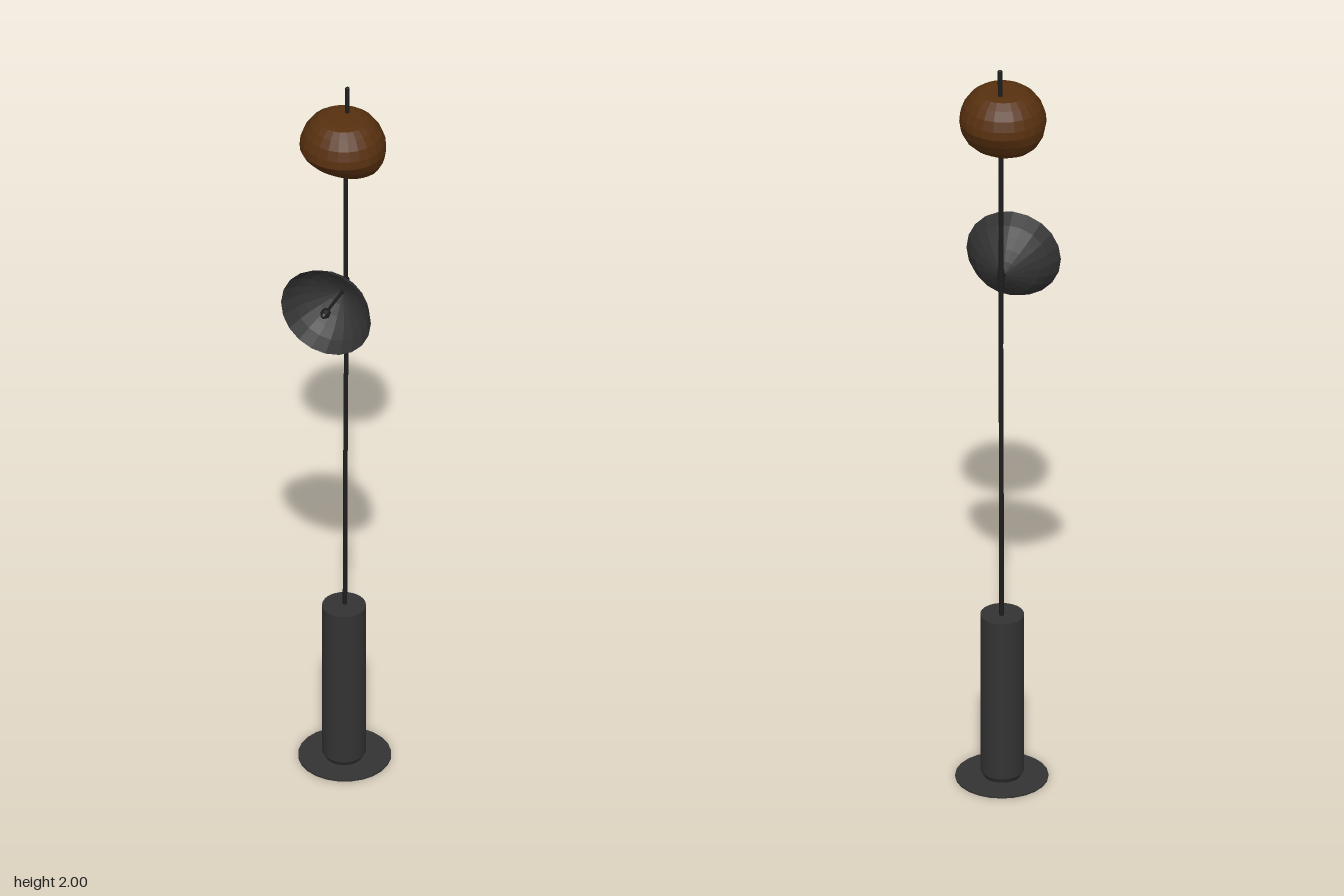
import * as THREE from 'three';

const charcoal = new THREE.MeshStandardMaterial({ color: 0x333333 });
charcoal.name = 'charcoal metal';
const shell = new THREE.MeshStandardMaterial({ color: 0x333333, side: THREE.DoubleSide });
shell.name = 'charcoal sheet';
const black = new THREE.MeshStandardMaterial({ color: 0x1e1e1e });
black.name = 'black metal';
const amber = new THREE.MeshStandardMaterial({ color: 0x57300f });
amber.name = 'dark amber';

const points = (list) => list.map(([r, y]) => new THREE.Vector2(r, y));

// Faceted version of a smooth geometry
function faceted(geometry) {
  const flat = geometry.toNonIndexed();
  flat.computeVertexNormals();
  return flat;
}

export function createModel() {
  const group = new THREE.Group();
  const add = (name, geometry, material, x = 0, y = 0, z = 0, parent = group) => {
    const mesh = new THREE.Mesh(geometry, material);
    mesh.name = name;
    mesh.position.set(x, y, z);
    parent.add(mesh);
    return mesh;
  };

  // Thin floor disc
  add('baseDisc', new THREE.CylinderGeometry(0.115, 0.115, 0.004, 24), charcoal, 0, 0.002, -0.016);

  // Heavy cylindrical post with softened bottom edge
  add('post', new THREE.CylinderGeometry(0.054, 0.054, 0.437, 32), charcoal, 0, 0.2365, -0.012);
  add('postFoot', new THREE.CylinderGeometry(0.054, 0.046, 0.014, 32), charcoal, 0, 0.011, -0.012);

  // Slender, slightly bent pole
  const path = new THREE.CatmullRomCurve3([
    [0.44, -0.018], [0.8, -0.02], [1.2, -0.025], [1.45, -0.023], [1.75, -0.025], [1.9, -0.031], [1.998, -0.034],
  ].map(([y, z]) => new THREE.Vector3(0, y, z)));
  add('pole', new THREE.TubeGeometry(path, 40, 0.006, 8), black);
  add('poleTip', new THREE.SphereGeometry(0.006, 8, 4), black, 0, 1.994, -0.034);

  // Globe with flattened top, pinched front to back towards the pole below
  const globe = new THREE.LatheGeometry(points([
    [0, -0.09], [0.035, -0.086], [0.065, -0.074], [0.088, -0.055], [0.103, -0.028], [0.108, 0],
    [0.106, 0.022], [0.097, 0.047], [0.081, 0.069], [0.062, 0.083], [0.045, 0.086], [0, 0.086],
  ]), 24);
  const p = globe.attributes.position;
  for (let i = 0; i < p.count; i++) {
    const t = Math.max(0, -p.getY(i) / 0.09);
    p.setZ(i, p.getZ(i) * (0.95 - 0.4 * t) - 0.014 * t);
  }
  add('globe', faceted(globe), amber, 0, 1.84, -0.005);

  // Forward-facing reflector, tilted slightly upward
  const lamp = new THREE.Group();
  lamp.name = 'reflectorLamp';
  lamp.position.set(0, 1.405, 0);
  lamp.rotation.x = Math.PI / 2 - 0.04;
  group.add(lamp);
  add('reflector', faceted(new THREE.LatheGeometry(points([
    [0.004, 0], [0.03, 0.012], [0.056, 0.028], [0.082, 0.047], [0.1, 0.068], [0.12, 0.103],
  ]), 20)), shell, 0, 0, 0, lamp);
  add('bulbStem', new THREE.CylinderGeometry(0.004, 0.004, 0.1, 8), black, 0, 0.05, 0, lamp);
  add('bulb', faceted(new THREE.LatheGeometry(points([
    [0, 0.092], [0.011, 0.097], [0.013, 0.108], [0.008, 0.12], [0, 0.127],
  ]), 8)), black, 0, 0, 0, lamp);

  // Bracket and clamp joining the reflector to the pole
  const bracket = add('bracket', new THREE.CylinderGeometry(0.005, 0.007, 0.034, 8), black, 0, 1.405, -0.011);
  bracket.rotation.x = Math.PI / 2;
  add('clamp', new THREE.CylinderGeometry(0.009, 0.009, 0.04, 10), black, 0, 1.41, -0.024);

  return group;
}
